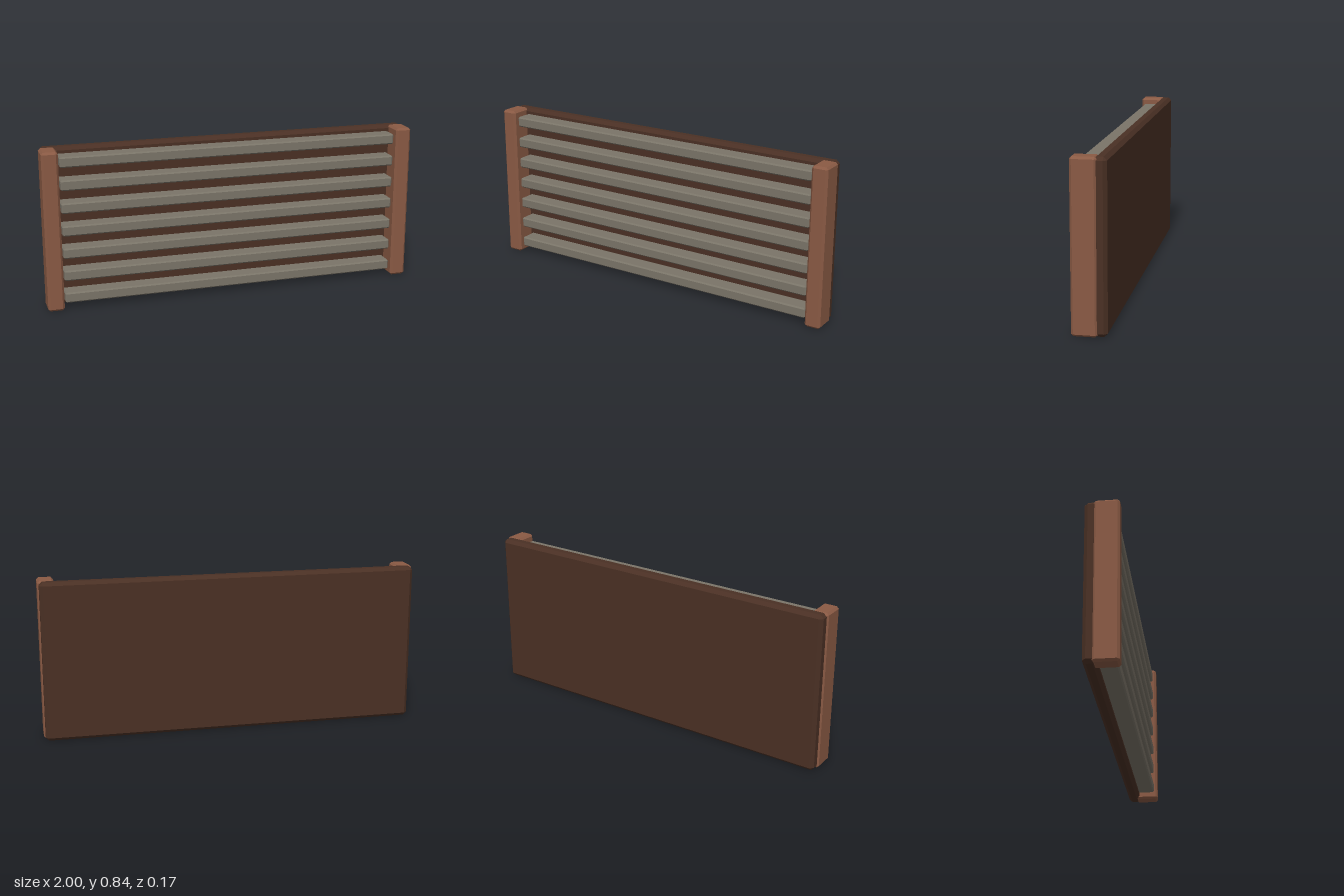
import * as THREE from 'three';
import { ConvexGeometry } from 'three/addons/geometries/ConvexGeometry.js';

function material(name, color) {
  const m = new THREE.MeshStandardMaterial({ color });
  m.name = name;
  return m;
}

// Box with flat chamfers on every edge: each corner becomes three points
function chamferBox(w, h, d, c) {
  const points = [];
  for (const x of [-w / 2, w / 2])
    for (const y of [-h / 2, h / 2])
      for (const z of [-d / 2, d / 2]) {
        const ix = x - Math.sign(x) * c, iy = y - Math.sign(y) * c, iz = z - Math.sign(z) * c;
        points.push(
          new THREE.Vector3(x, iy, iz),
          new THREE.Vector3(ix, y, iz),
          new THREE.Vector3(ix, iy, z)
        );
      }
  return new ConvexGeometry(points);
}

export function createModel() {
  const group = new THREE.Group();
  group.name = 'slattedPanel';

  const postWood = material('reddish wood', 0x8a5a44);
  const panelWood = material('dark wood', 0x4a3024);
  const slatGrey = material('warm grey', 0x7a7468);

  const height = 0.84;
  const add = (name, geometry, mat, x, y, z) => {
    const mesh = new THREE.Mesh(geometry, mat);
    mesh.name = name;
    mesh.position.set(x, y, z);
    group.add(mesh);
  };

  // Backing board
  add('backPanel', chamferBox(1.985, height, 0.065, 0.017), panelWood, 0, height / 2, -0.0525);

  // Upright post at each end
  const post = chamferBox(0.085, height, 0.125, 0.011);
  add('leftPost', post, postWood, 0.9575, height / 2, 0.0225);
  add('rightPost', post, postWood, -0.9575, height / 2, 0.0225);

  // Seven evenly spaced horizontal slats
  const slat = chamferBox(1.815, 0.055, 0.095, 0.007);
  for (let i = 0; i < 7; i++) {
    add(`slat${i + 1}`, slat, slatGrey, 0, 0.06 + i * 0.12, 0.0195);
  }

  return group;
}
